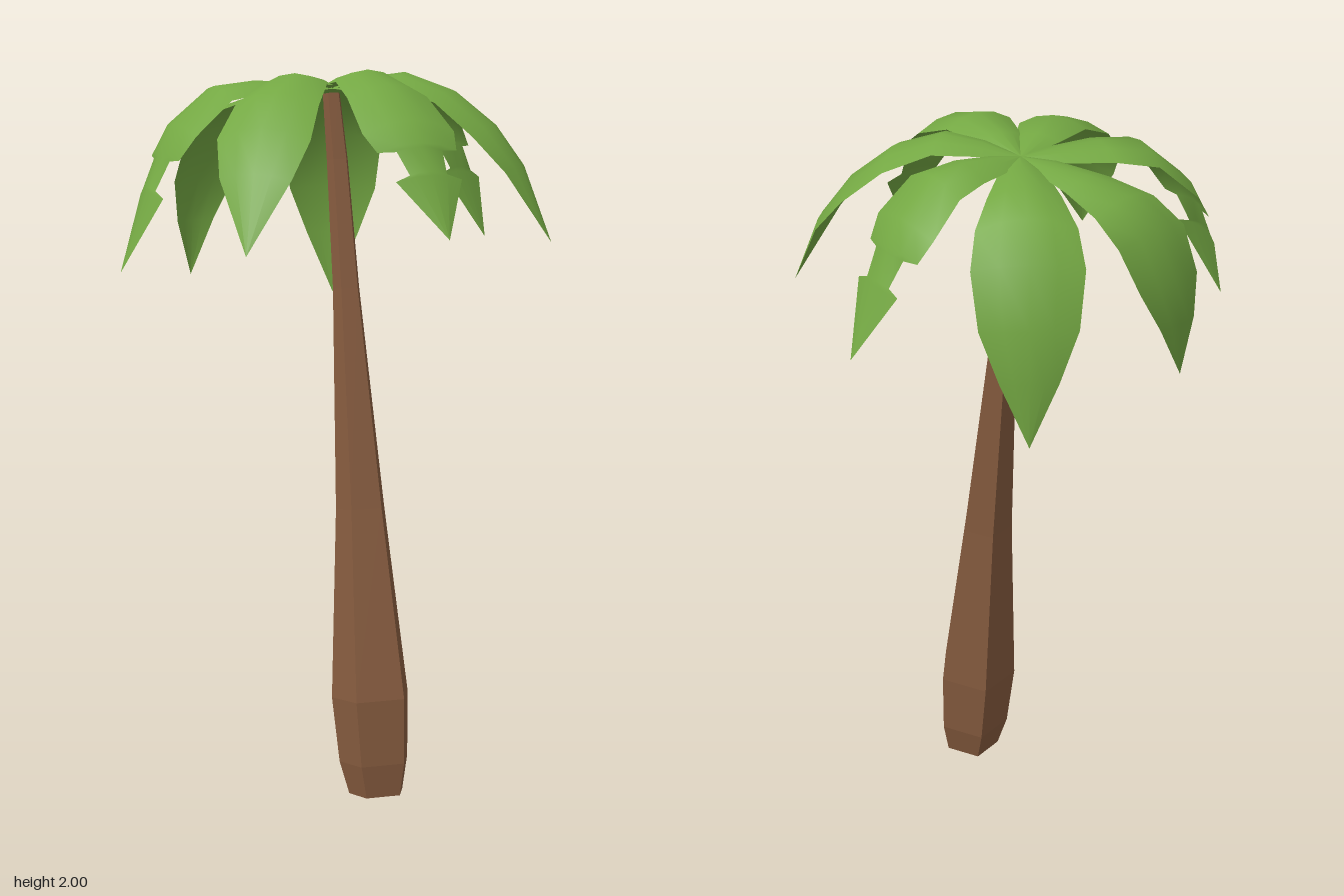
import * as THREE from 'three';

const bark = new THREE.MeshStandardMaterial({ color: 0x875c3f, flatShading: true });
const green = new THREE.MeshStandardMaterial({ color: 0x74a843, side: THREE.DoubleSide });
const CROWN = new THREE.Vector3(0.045, 1.945, -0.11);

// Leaf profiles, rows of [distance from crown, height above crown, half width]
const plain = [
  [0, 0, 0.008], [0.1, 0.03, 0.06], [0.21, 0.045, 0.09], [0.34, 0, 0.117],
  [0.455, -0.09, 0.13], [0.54, -0.2, 0.1], [0.63, -0.405, 0],
];
const ragged = [
  [0, 0, 0.008], [0.1, 0.035, 0.067], [0.22, 0.055, 0.096], [0.34, 0.02, 0.12],
  [0.46, -0.068, 0.137], [0.505, -0.125, 0.118], [0.51, -0.135, 0.068],
  [0.55, -0.195, 0.055], [0.555, -0.205, 0.098], [0.64, -0.365, 0],
];
const drooping = [
  [0, 0, 0.008], [0.09, 0.005, 0.06], [0.2, -0.01, 0.093], [0.31, -0.052, 0.127],
  [0.39, -0.145, 0.142], [0.435, -0.3, 0.125], [0.447, -0.44, 0.075], [0.44, -0.615, 0],
];
const ACROSS = [-1, -0.5, 0, 0.5, 1];

// An arched strip: both edges droop away from the raised midrib
function leafGeometry(profile, [tipX, tipY, tipZ], { bend = 0, width = 1, rise = 1, skew = 0 }) {
  const dir = new THREE.Vector3(tipX - CROWN.x, 0, tipZ - CROWN.z);
  const last = profile[profile.length - 1];
  const reach = dir.length() / last[0];
  const drop = (tipY - CROWN.y) / last[1];
  dir.normalize();
  const side = new THREE.Vector3(-dir.z, 0, dir.x);
  const rows = profile.map(([r, y, w]) => [r * reach, y * (y < 0 ? drop : rise), w * width]);
  const pos = [], index = [], cols = ACROSS.length;
  rows.forEach(([r, y, w], i) => {
    const a = rows[Math.max(i - 1, 0)], b = rows[Math.min(i + 1, rows.length - 1)];
    const slope = Math.atan2(b[1] - a[1], b[0] - a[0]);
    const sway = bend * Math.sin(Math.PI * i / (rows.length - 1));
    for (const s of ACROSS) {
      const sag = 0.33 * w * s * s;
      const p = CROWN.clone()
        .addScaledVector(dir, r + skew * s * w + 0.5 * sag * Math.sin(slope))
        .addScaledVector(side, s * w + sway);
      p.y += y - sag * Math.cos(slope);
      pos.push(p.x, p.y, p.z);
    }
    if (i === 0) return;
    for (let c = 0; c < cols - 1; c++) {
      const p = (i - 1) * cols + c, q = i * cols + c;
      index.push(p, p + 1, q, p + 1, q + 1, q);
    }
  });
  const geo = new THREE.BufferGeometry();
  geo.setAttribute('position', new THREE.Float32BufferAttribute(pos, 3));
  geo.setIndex(index);
  geo.computeVertexNormals();
  return geo;
}

// Five-sided trunk, rows of [centre x, y, centre z, radius]
function trunkGeometry() {
  const rings = [
    [0.053, 0.01, 0.182, 0.08], [0.053, 0.1, 0.17, 0.102], [0.052, 0.28, 0.15, 0.114],
    [0.055, 0.8, 0.071, 0.072], [0.055, 1.4, -0.026, 0.039], [0.055, 1.75, -0.085, 0.031],
    [0.048, 1.93, -0.11, 0.025],
  ];
  const n = rings.length - 1;
  const geo = new THREE.CylinderGeometry(1, 1, 1, 5, n, false, -0.855);
  const p = geo.attributes.position;
  for (let i = 0; i < p.count; i++) {
    const [x, y, z, r] = rings[Math.round((p.getY(i) + 0.5) * n)];
    const dx = p.getX(i) * r, dz = p.getZ(i) * r;
    p.setXYZ(i, x + dx, y + dz * 0.13, z + dz);
  }
  geo.computeVertexNormals();
  return geo;
}

export function createModel() {
  const model = new THREE.Group();
  model.name = 'palmTree';

  const trunk = new THREE.Mesh(trunkGeometry(), bark);
  trunk.name = 'trunk';
  model.add(trunk);

  // Leaves: name, profile, tip, shape tweaks
  const leaves = [
    ['frontLeaf', ragged, [0.08, 1.58, 0.53], { bend: 0.01 }],
    ['frontLeftLeaf', plain, [0.495, 1.54, 0.33], { bend: -0.013 }],
    ['leftLeaf', ragged, [0.565, 1.51, -0.17], { bend: -0.015, rise: 0.4, width: 0.92 }],
    ['backLeftLeaf', drooping, [0.235, 1.33, -0.505], {}],
    ['backRightLeaf', drooping, [-0.24, 1.41, -0.45], { bend: 0.062, width: 0.82, skew: -0.4 }],
    ['rightLeaf', ragged, [-0.565, 1.46, -0.14], { bend: 0.05, rise: 0.4 }],
    ['frontRightLeaf', plain, [-0.4, 1.54, 0.335], { bend: 0.03 }],
  ];
  const crown = new THREE.Group();
  crown.name = 'crown';
  for (const [name, profile, tip, tweaks] of leaves) {
    const leaf = new THREE.Mesh(leafGeometry(profile, tip, tweaks), green);
    leaf.name = name;
    crown.add(leaf);
  }
  model.add(crown);
  return model;
}
